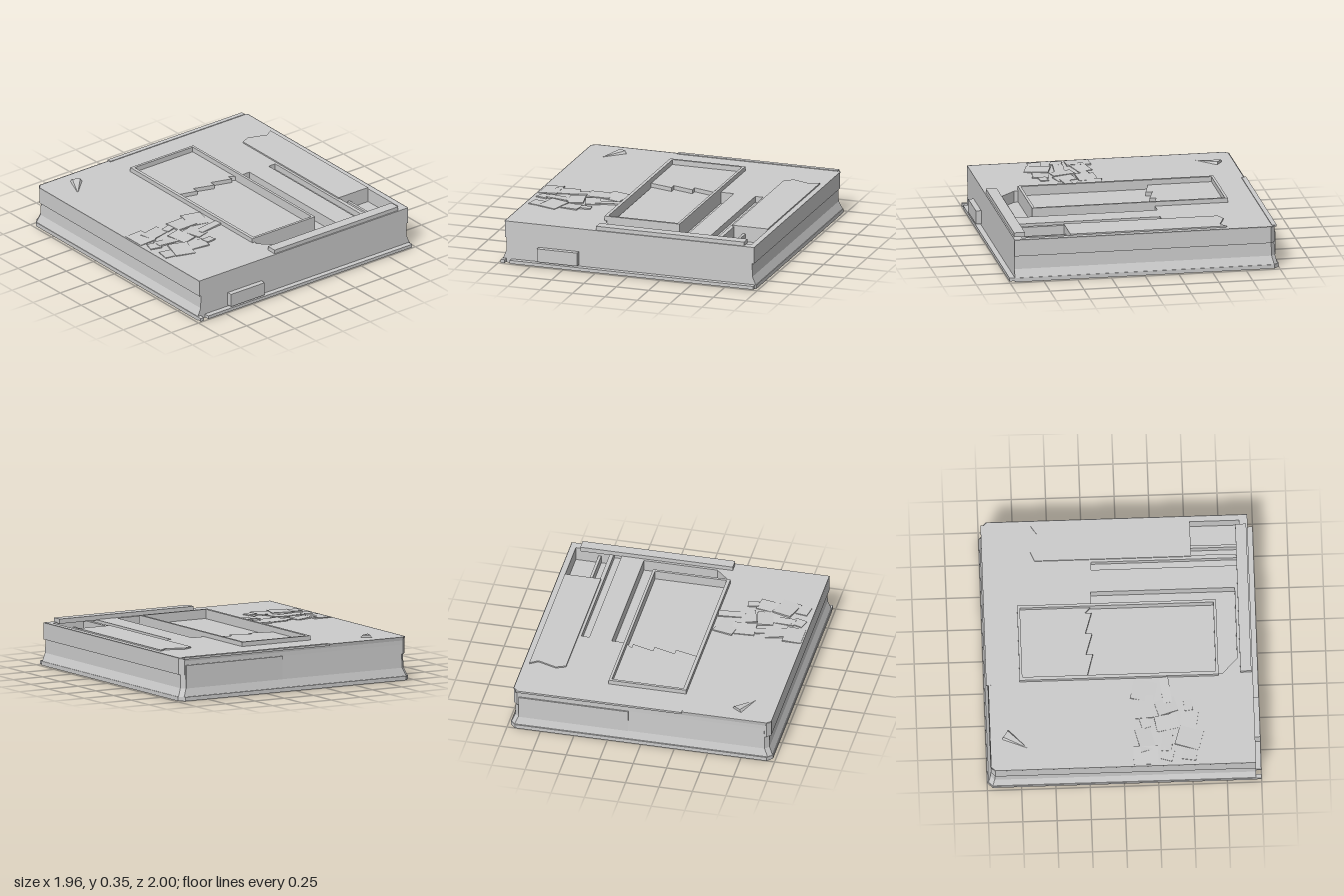
import * as THREE from 'three';

const grey = new THREE.MeshStandardMaterial({ color: 0xcccccc, flatShading: true, side: THREE.DoubleSide });

function add(group, name, geometry) {
  const mesh = new THREE.Mesh(geometry, grey);
  mesh.name = name;
  group.add(mesh);
  return mesh;
}

// Box given by its limits on each axis
function block(group, name, x0, x1, y0, y1, z0, z1) {
  const mesh = add(group, name, new THREE.BoxGeometry(x1 - x0, y1 - y0, z1 - z0));
  mesh.position.set((x0 + x1) / 2, (y0 + y1) / 2, (z0 + z1) / 2);
  return mesh;
}

// Plan outline from x, z pairs
function outline(points, Type = THREE.Shape) {
  return new Type(points.map(([x, z]) => new THREE.Vector2(x, -z)));
}
const rect = (x0, x1, z0, z1) => [[x0, z0], [x1, z0], [x1, z1], [x0, z1]];

// Horizontal plate between two heights, with holes cut through it
function plate(group, name, points, holes, y0, y1) {
  const shape = outline(points);
  shape.holes = holes.map((h) => outline(h, THREE.Path));
  const geometry = new THREE.ExtrudeGeometry(shape, { depth: y1 - y0, bevelEnabled: false });
  geometry.rotateX(-Math.PI / 2);
  geometry.translate(0, y0, 0);
  return add(group, name, geometry);
}

// Plan with chamfered back corners
function plan(half, front, back, cut = 0.03) {
  return [[half, front], [half, back + cut], [half - cut, back],
    [-half + cut, back], [-half, back + cut], [-half, front]];
}

// Outer walls lofted through plan sections: height, half width, front z, back z
function wallGeometry(sections) {
  const positions = [], index = [], n = 6;
  sections.forEach(([y, half, front, back]) => {
    plan(half, front, back).forEach(([x, z]) => positions.push(x, y, z));
  });
  for (let s = 0; s < sections.length - 1; s++) {
    for (let i = 0; i < n; i++) {
      const a = s * n + i, b = s * n + (i + 1) % n;
      index.push(a, b, b + n, a, b + n, a + n);
    }
  }
  const geometry = new THREE.BufferGeometry();
  geometry.setAttribute('position', new THREE.Float32BufferAttribute(positions, 3));
  geometry.setIndex(index);
  geometry.computeVertexNormals();
  return geometry;
}

export function createModel() {
  const model = new THREE.Group();
  model.name = 'flatBuilding';

  // Base slab and outer walls with a flared foot and a small cornice
  plate(model, 'baseSlab', plan(0.98, 0.96, -1, 0.04), [], 0.01, 0.04);
  add(model, 'outerWalls', wallGeometry([
    [0.04, 0.975, 0.96, -0.99],
    [0.1, 0.95, 0.96, -0.975],
    [0.27, 0.945, 0.96, -0.97],
    [0.3, 0.955, 0.96, -0.97],
    [0.325, 0.965, 0.96, -0.975],
  ]));

  // Ledge, entrance box and canopy along the front
  block(model, 'frontLedge', -0.91, 0.97, 0.015, 0.04, 0.95, 1);
  block(model, 'ledgeEnd', -0.98, -0.95, 0.015, 0.04, 0.95, 1);
  block(model, 'entranceBox', -0.7, -0.39, 0.05, 0.15, 0.95, 1);

  // Roof with the courtyard, side trench and corner yard cut out
  const courtyard = [[-0.26, -0.73], [0.29, -0.73], [0.29, -0.2], [0.4, -0.2], [0.4, 0.85], [-0.15, 0.85], [-0.26, 0.74]];
  const trench = rect(0.57, 0.63, -0.19, 0.9);
  const yard = rect(0.66, 0.92, 0.54, 0.9);
  plate(model, 'roof', plan(0.962, 0.96, -0.97), [courtyard, trench, yard], 0.2, 0.325);
  plate(model, 'courtyardFloor', courtyard, [], 0.18, 0.24);
  plate(model, 'trenchFloor', trench, [], 0.18, 0.28);
  plate(model, 'yardFloor', yard, [], 0.18, 0.22);
  block(model, 'yardPipe', 0.73, 0.75, 0.22, 0.28, 0.54, 0.9);

  // Sunken block in the courtyard, framed by a thin parapet
  const jagged = [[-0.26, -0.73], [0.29, -0.73], [0.29, -0.2]];
  for (let i = 0; i < 3; i++) {
    const x = 0.24 - i * 0.16;
    jagged.push([x, -0.25], [x, -0.2]);
  }
  jagged.push([-0.26, -0.25]);
  plate(model, 'upperFloor', jagged, [], 0.2, 0.32);
  plate(model, 'lowerFloor', rect(-0.25, 0.28, -0.25, 0.69), [], 0.2, 0.29);
  plate(model, 'courtyardParapet', rect(-0.28, 0.3, -0.74, 0.71),
    [rect(-0.255, 0.28, -0.72, 0.69)], 0.23, 0.358);

  // Raised roof strips
  block(model, 'frontRoofStrip', -0.26, 0.88, 0.32, 0.355, 0.87, 0.95);
  plate(model, 'sideRoofPanel', [[0.65, -0.6], [0.72, -0.63], [0.86, -0.58], [0.92, -0.62],
    [0.92, 0.54], [0.65, 0.54]], [], 0.32, 0.335);
  block(model, 'backRoofRidge', -0.3, 0.94, 0.315, 0.33, -0.985, -0.95);
  block(model, 'backWallPanel', 0.1, 0.92, 0.1, 0.27, -0.98, -0.965);

  // Uneven patches on the left of the roof
  for (let i = 0; i < 14; i++) {
    const x = -0.88 + (i % 5) * 0.125, z = 0.16 + Math.floor(i / 5) * 0.16;
    const w = 0.07 + 0.03 * Math.sin(i * 2.3), d = 0.06 + 0.03 * Math.cos(i * 1.7);
    const patch = block(model, 'roofPatch', x - w, x + w, 0.317, 0.332 + 0.004 * Math.sin(i * 3.1), z - d, z + d);
    patch.rotation.set(0.04 * Math.sin(i * 1.9), 0.3 * Math.sin(i), 0.05 * Math.cos(i * 2.7));
  }

  // Small curved vent near the back left corner of the roof
  const vent = add(model, 'roofVent', new THREE.ConeGeometry(0.05, 0.19, 5));
  vent.position.set(-0.74, 0.325, -0.78);
  vent.scale.z = 0.5;
  vent.rotation.set(Math.PI / 2, 0, 0.6);

  return model;
}
